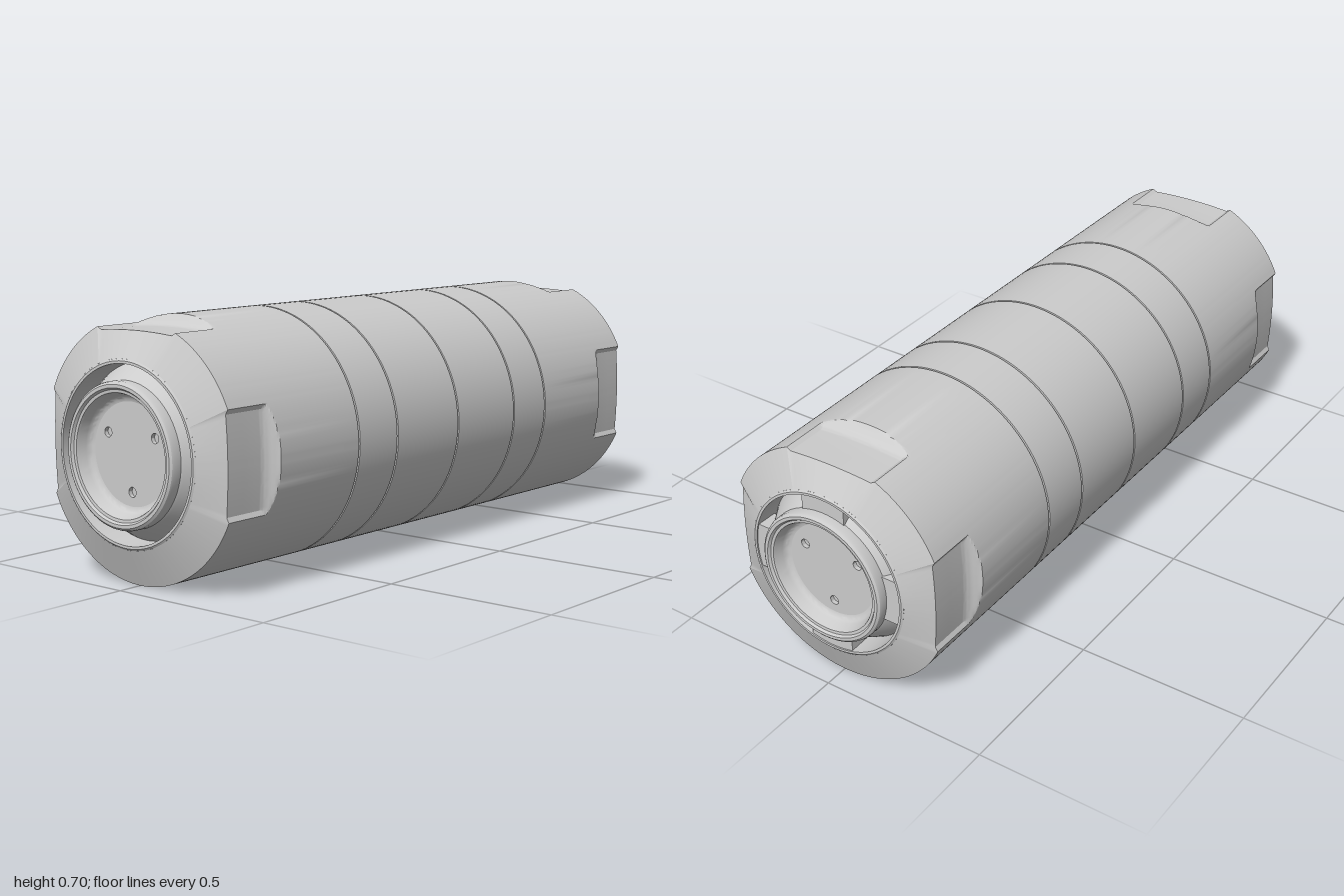
import * as THREE from 'three';
import { toCreasedNormals } from 'three/addons/utils/BufferGeometryUtils.js';

const R = 0.352; // outer radius of the barrel
const material = new THREE.MeshStandardMaterial({ color: 0xcccccc });

function part(name, geometry) {
  const mesh = new THREE.Mesh(geometry, material);
  mesh.name = name;
  return mesh;
}

// Turned part along +x from [radius, x] pairs
function turned(profile, segments, rule) {
  const g = new THREE.LatheGeometry(profile.map(([r, x]) => new THREE.Vector2(r, x)), segments);
  g.rotateZ(-Math.PI / 2);
  if (rule) rule(g.attributes.position);
  return toCreasedNormals(g, 0.5);
}

// Flat outline pushed along +x, ending at x = front
function plate(shape, front, depth) {
  const g = new THREE.ExtrudeGeometry(shape, { depth, bevelEnabled: false, curveSegments: 24 });
  g.rotateY(Math.PI / 2);
  g.translate(front - depth, 0, 0);
  return toCreasedNormals(g, 0.5);
}

// Cuts wrench flats into the top, front and back of an end shell
function cutFlats(pos) {
  for (let i = 0; i < pos.count; i++) {
    const x = pos.getX(i), y = pos.getY(i), z = pos.getZ(i);
    if (x < 0.764 || x > 0.93) continue;
    const angle = Math.atan2(z, y);
    for (const centre of [0, Math.PI / 2, -Math.PI / 2]) {
      const a = angle - centre, deg = Math.abs(a) * 180 / Math.PI;
      if (deg > 23.5) continue;
      const ramp = Math.max(0, (0.81 - x) / 0.045);
      const floor = 0.32 + 0.032 * ramp * ramp - 0.006 * (deg / 23) ** 2;
      const r = Math.min(R, floor / Math.cos(a));
      pos.setXYZ(i, x, Math.cos(angle) * r, Math.sin(angle) * r);
    }
  }
}

function createEnd(name, withTabs) {
  const end = new THREE.Group();
  end.name = name;

  // Outer shell with flats and a chamfered nose
  const shell = [[R - 0.012, 0.445], [R - 0.012, 0.453], [R, 0.453]];
  for (let i = 0; i <= 9; i++) shell.push([R, 0.765 + i * 0.005]);
  shell.push([R, 0.87], [R, 0.928], [0.25, 0.97]);
  end.add(part('endShell', turned(shell, 240, cutFlats)));

  // Lip, conical recess, raised ring and its bowl
  end.add(part('socketRing', turned([
    [0.25, 0.97], [0.245, 0.974], [0.238, 0.974], [0.236, 0.9], [0.2, 0.96], [0.195, 0.966],
    [0.195, 0.989], [0.193, 0.995], [0.187, 1], [0.178, 1], [0.173, 0.993], [0.165, 0.992],
    [0.162, 0.985], [0.156, 0.966], [0.152, 0.957], [0.146, 0.952], [0.138, 0.95],
  ], 96)));

  // Face disc with three small holes
  const disc = new THREE.Shape().absarc(0, 0, 0.1385, 0, Math.PI * 2, false);
  for (const deg of [30, 150, 270]) {
    const a = deg * Math.PI / 180;
    disc.holes.push(new THREE.Path().absarc(Math.cos(a) * 0.1, Math.sin(a) * 0.1, 0.0135, 0, Math.PI * 2, true));
  }
  end.add(part('faceDisc', plate(disc, 0.95, 0.015)));
  const backing = new THREE.Shape().absarc(0, 0, 0.1385, 0, Math.PI * 2, false);
  end.add(part('discBacking', plate(backing, 0.938, 0.01)));

  // Four locking tabs bridging the recess
  if (withTabs) {
    const mid = Math.PI / 2;
    const tab = new THREE.Shape();
    tab.absarc(0, 0, 0.238, mid - 0.29, mid + 0.29, false);
    tab.absarc(0, 0, 0.193, mid + 0.36, mid - 0.36, true);
    for (let i = 0; i < 4; i++) {
      const mesh = part('lockingTab', plate(tab, 0.97, 0.06));
      mesh.rotation.x = i * Math.PI / 2;
      end.add(mesh);
    }
  }
  return end;
}

export function createModel() {
  const model = new THREE.Group();
  model.name = 'cylinder';

  // Middle barrel with narrow grooves
  const barrel = [[R - 0.012, -0.447], [R, -0.447]];
  for (const x of [-0.283, 0, 0.283]) {
    barrel.push([R, x - 0.003], [R - 0.01, x - 0.003], [R - 0.01, x + 0.003], [R, x + 0.003]);
  }
  barrel.push([R, 0.447], [R - 0.012, 0.447]);
  model.add(part('barrel', turned(barrel, 120)));

  // Two facing ends
  const leftEnd = createEnd('leftEnd', true);
  const rightEnd = createEnd('rightEnd', false);
  rightEnd.rotation.y = Math.PI;
  model.add(leftEnd, rightEnd);

  model.children.forEach((child) => { child.position.y = R; });
  return model;
}
